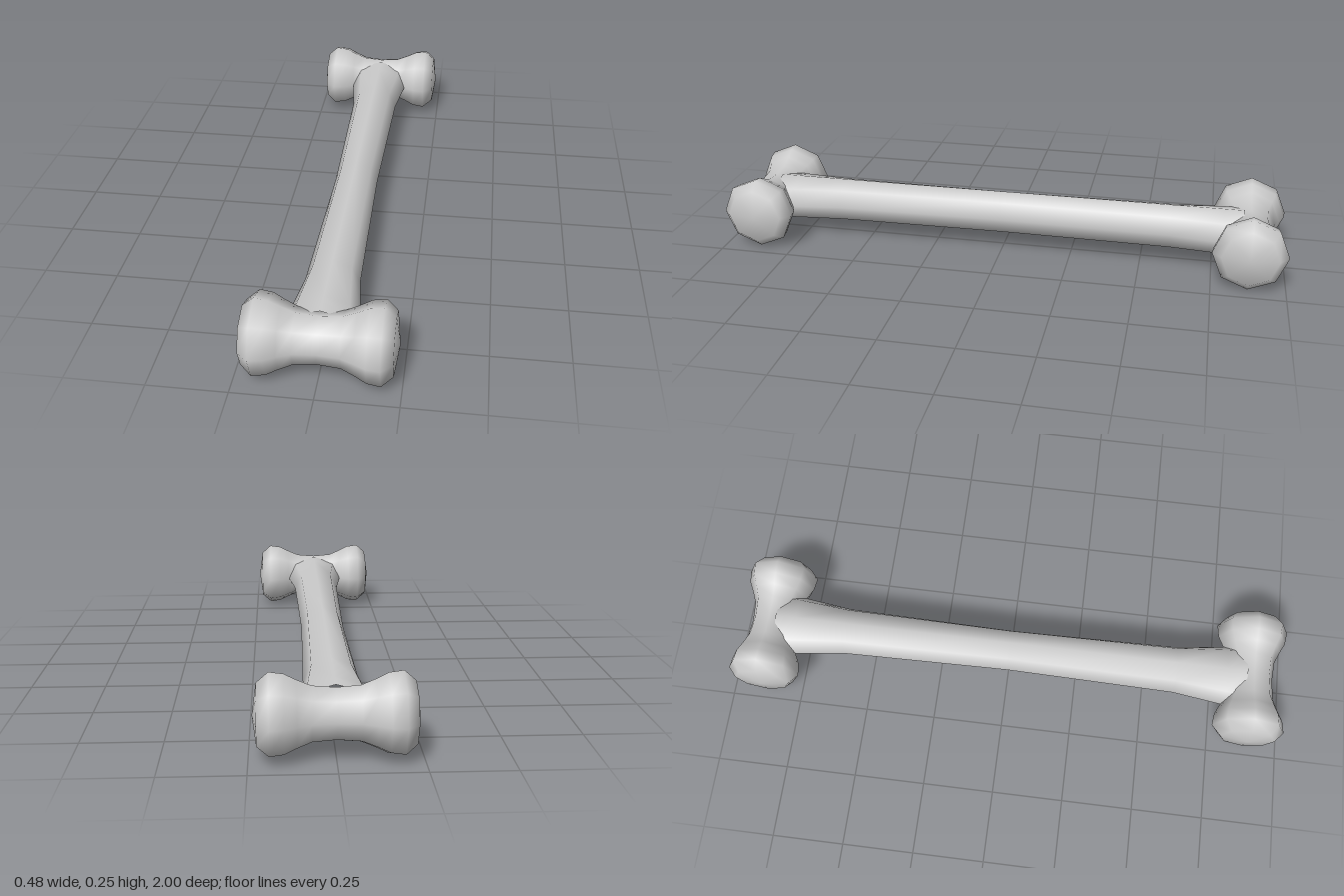
import * as THREE from 'three';
import { mergeVertices } from 'three/addons/utils/BufferGeometryUtils.js';

const SIDES = 8;
const CENTRE_Y = 0.128;

// Smooth lathe with its seam welded, built from a half profile mirrored about the middle
function mirroredLathe(half) {
  const top = half.map(([r, h]) => new THREE.Vector2(r, h));
  const bottom = half.slice(1).reverse().map(([r, h]) => new THREE.Vector2(r, -h));
  const geometry = new THREE.LatheGeometry([...bottom, ...top], SIDES);
  geometry.deleteAttribute('uv');
  geometry.deleteAttribute('normal');
  return geometry;
}

function finish(geometry) {
  const welded = mergeVertices(geometry, 1e-4);
  welded.computeVertexNormals();
  return welded;
}

export function createModel() {
  const group = new THREE.Group();
  group.name = 'bone';
  const material = new THREE.MeshStandardMaterial({ color: 0xcccccc });

  function add(name, geometry, z) {
    const mesh = new THREE.Mesh(geometry, material);
    mesh.name = name;
    mesh.position.set(0, CENTRE_Y, z);
    group.add(mesh);
  }

  // Shaft: [half width, distance from the middle], flaring sideways into the heads
  const shaft = mirroredLathe([[0.076, 0], [0.087, 0.6], [0.111, 0.78], [0.115, 0.85]]);
  shaft.rotateX(Math.PI / 2);
  const p = shaft.attributes.position;
  for (let i = 0; i < p.count; i++) {
    // keep the height constant while the width varies
    const radius = Math.hypot(p.getX(i), p.getY(i));
    p.setY(i, p.getY(i) * 0.079 / radius);
  }
  add('shaft', finish(shaft), 0);

  // Heads: waisted cross pieces with a rounded knob at each end
  const head = mirroredLathe([
    [0.079, 0], [0.085, 0.07], [0.103, 0.112], [0.121, 0.148],
    [0.127, 0.19], [0.096, 0.225], [0, 0.238],
  ]);
  head.rotateZ(-Math.PI / 2);
  const headGeometry = finish(head);
  add('frontHead', headGeometry, 0.873);
  add('backHead', headGeometry, -0.873);

  return group;
}
